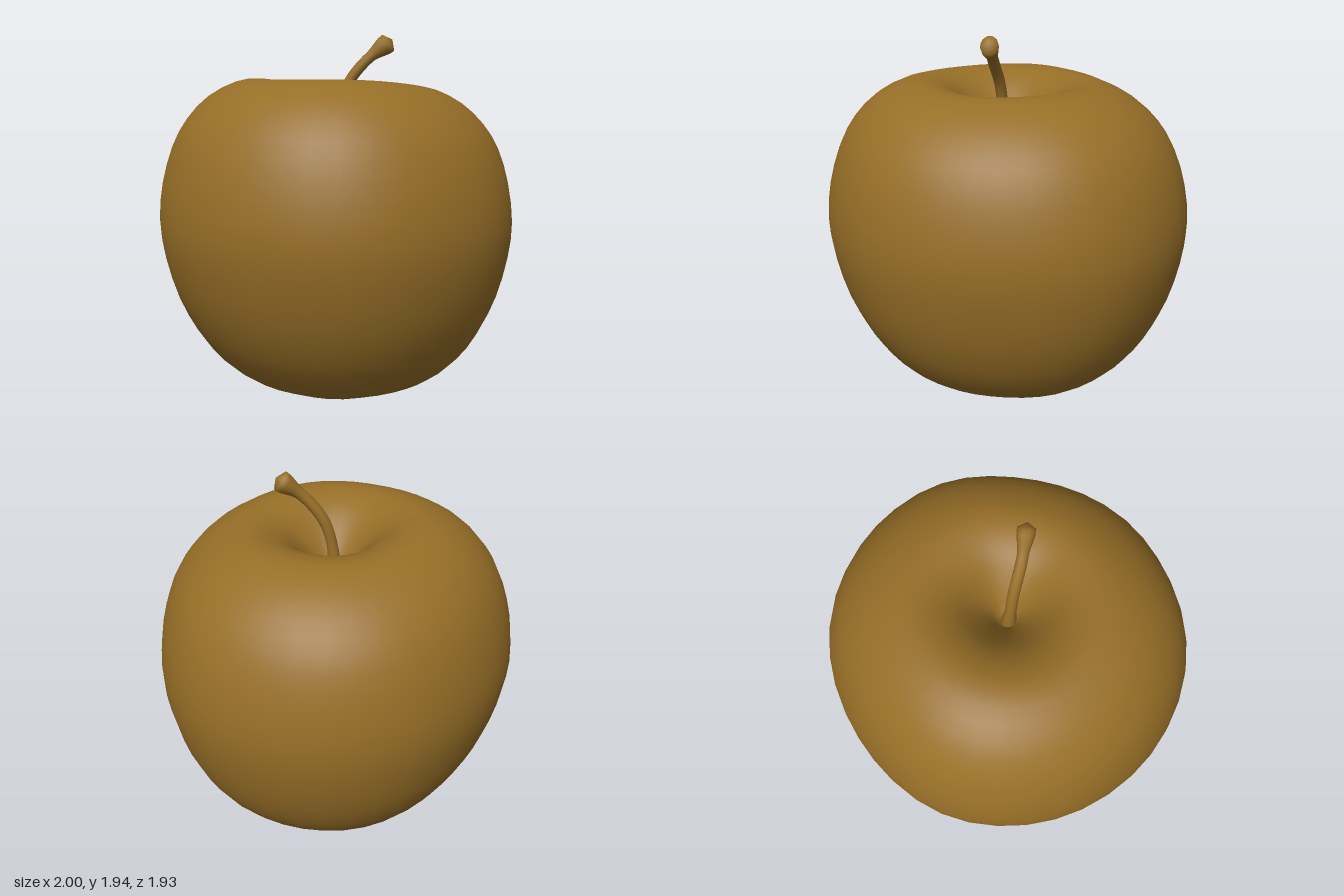
import * as THREE from 'three';
import { mergeVertices } from 'three/addons/utils/BufferGeometryUtils.js';

const { smoothstep } = THREE.MathUtils;

// Drop seams so that the recomputed normals are smooth all round.
function smooth(geometry) {
  geometry.deleteAttribute('uv');
  geometry.deleteAttribute('normal');
  const merged = mergeVertices(geometry, 1e-4);
  merged.computeVertexNormals();
  return merged;
}

// Outline radius every 45 degrees, from +x towards +z.
const OUTLINE = [0.995, 0.945, 0.97, 1.005, 1.0, 1.0, 0.965, 0.995];
function outline(angle) {
  const t = ((angle / (Math.PI * 2) + 1) % 1) * 8;
  const i = Math.floor(t);
  const k = (1 - Math.cos((t - i) * Math.PI)) / 2;
  return OUTLINE[i % 8] * (1 - k) + OUTLINE[(i + 1) % 8] * k;
}

// Fruit body: a turned profile, made uneven with a tilted rim and five base lobes.
function fruitGeometry() {
  const profile = [
    [0, 0.21], [0.06, 0.19], [0.13, 0.12], [0.2, 0.045], [0.3, 0.003], [0.42, 0.018],
    [0.58, 0.085], [0.72, 0.2], [0.83, 0.35], [0.92, 0.54], [0.98, 0.76], [1, 0.95],
    [0.975, 1.15], [0.915, 1.34], [0.83, 1.48], [0.71, 1.595], [0.56, 1.67], [0.43, 1.685],
    [0.3, 1.64], [0.2, 1.56], [0.1, 1.45], [0.05, 1.38], [0, 1.35],
  ].map(([r, y]) => new THREE.Vector2(r, y));
  const points = new THREE.SplineCurve(profile).getPoints(44);
  points.forEach((p) => { p.x = Math.max(0, p.x); });
  const geometry = new THREE.LatheGeometry(points, 40);
  const pos = geometry.attributes.position;
  for (let i = 0; i < pos.count; i++) {
    const x = pos.getX(i), y = pos.getY(i), z = pos.getZ(i);
    const r = Math.hypot(x, z), a = Math.atan2(z, x);
    const s = outline(a);
    const spread = smoothstep(r, 0.05, 0.4);
    const rim = smoothstep(y, 1.2, 1.65) * spread;
    const base = (1 - smoothstep(y, 0.1, 0.3)) * smoothstep(r, 0.05, 0.2) * (1 - smoothstep(r, 0.3, 0.6));
    const lift = rim * (-0.02 * Math.cos(a) - 0.006 * Math.sin(a) + 0.006 * Math.cos(3 * a))
      + base * 0.02 * (1 - Math.cos(5 * a));
    pos.setXYZ(i, x * s - 0.02 * (y - 0.9) * spread, y + lift, z * s);
  }
  return smooth(geometry);
}

// Stem: a bent tube that swells into a blunt, slanted tip.
function stemGeometry() {
  const curve = new THREE.CatmullRomCurve3([
    [-0.02, 1.33, 0], [-0.025, 1.5, 0.01], [0, 1.67, 0.05], [0.06, 1.8, 0.13], [0.165, 1.915, 0.23],
  ].map((p) => new THREE.Vector3(...p)));
  const rows = 24, sides = 12;
  const geometry = new THREE.TubeGeometry(curve, rows, 1, sides);
  const pos = geometry.attributes.position;
  const v = new THREE.Vector3();
  for (let row = 0; row <= rows; row++) {
    const t = row / rows;
    const centre = curve.getPointAt(t);
    let radius = 0.03 + 0.012 * (1 - smoothstep(t, 0, 0.3)) + 0.022 * smoothstep(t, 0.78, 0.95);
    if (row === rows - 1) radius = 0.051;
    if (row === rows) radius = 0;
    for (let j = 0; j <= sides; j++) {
      const i = row * (sides + 1) + j;
      const knobbly = 1 + 0.1 * Math.sin(j / sides * Math.PI * 4) * smoothstep(t, 0.7, 1);
      v.fromBufferAttribute(pos, i).sub(centre).multiplyScalar(radius * knobbly).add(centre);
      pos.setXYZ(i, v.x, v.y, v.z);
    }
  }
  return smooth(geometry);
}

// Calyx: a short open cup with a ragged lower edge.
function calyxGeometry() {
  const sides = 30;
  const geometry = new THREE.CylinderGeometry(0.06, 0.09, 0.12, sides, 3, true);
  const pos = geometry.attributes.position;
  for (let i = 0; i < pos.count; i++) {
    const a = Math.atan2(pos.getZ(i), pos.getX(i));
    const t = 0.5 - pos.getY(i) / 0.12;
    const tooth = Math.cos(5 * a);
    const k = 1 + 0.2 * t * tooth;
    pos.setXYZ(i, pos.getX(i) * k, pos.getY(i) - 0.025 * t * tooth, pos.getZ(i) * k);
  }
  return smooth(geometry);
}

export function createModel() {
  const skin = new THREE.MeshStandardMaterial({ color: 0x966e27 });
  skin.name = 'golden brown';
  skin.side = THREE.DoubleSide;

  const group = new THREE.Group();
  group.name = 'apple';
  const add = (name, geometry) => {
    const mesh = new THREE.Mesh(geometry, skin);
    mesh.name = name;
    group.add(mesh);
    return mesh;
  };
  add('fruit', fruitGeometry());
  add('stem', stemGeometry());
  add('calyx', calyxGeometry()).position.set(-0.01, 0.145, 0);
  return group;
}
